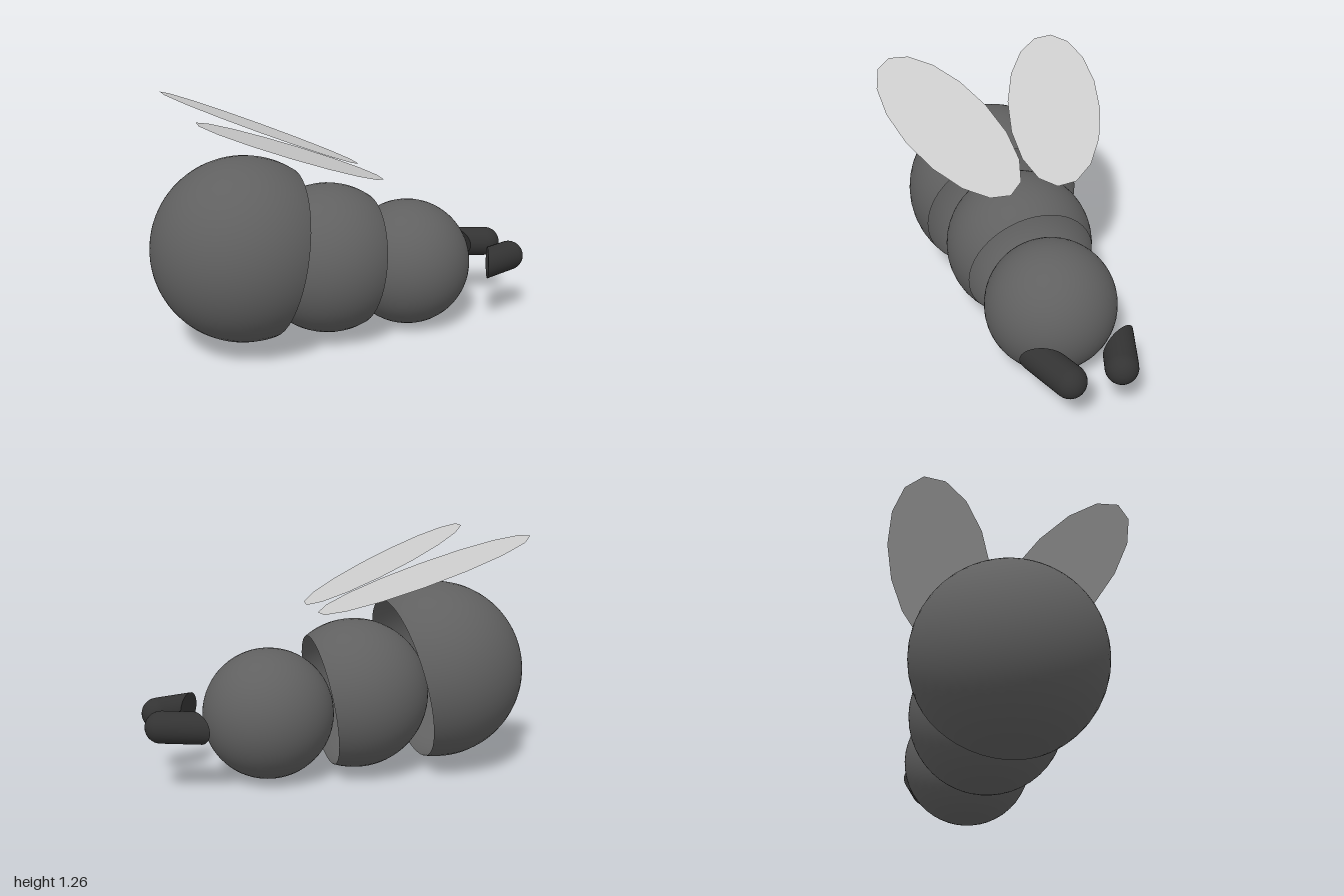
import * as THREE from 'three';

const rad = THREE.MathUtils.degToRad;

export function createModel() {
  const model = new THREE.Group();
  const shellGrey = new THREE.MeshStandardMaterial({ color: 0x606060, side: THREE.DoubleSide });
  const wingGrey = new THREE.MeshStandardMaterial({ color: 0xcccccc, side: THREE.DoubleSide });
  const jawGrey = new THREE.MeshStandardMaterial({ color: 0x333333, side: THREE.DoubleSide });

  const add = (name, geometry, material, x, y, z) => {
    const mesh = new THREE.Mesh(geometry, material);
    mesh.name = name;
    mesh.position.set(x, y, z);
    model.add(mesh);
    return mesh;
  };

  // Body segments: open shells whose mouths face +x and tip slightly down
  const segment = (name, r, x, y, tilt, mouth) => {
    const geometry = new THREE.SphereGeometry(r, 48, 32, 0, Math.PI * 2, rad(mouth), rad(180 - mouth));
    add(name, geometry, shellGrey, x, y, 0).rotation.z = -rad(90 + tilt);
  };
  segment('abdomen', 0.468, -0.532, 0.52, 13, 67);
  segment('thorax', 0.39, -0.09, 0.417, 9, 61.5);
  segment('head', 0.337, 0.365, 0.337, 0, 0);

  // Jaw profile: slanted base, straight side, round tip
  const r = 0.08;
  const profile = [[0, -0.175], [r, -0.175], [r, -0.175], [r, 0]].map(([x, y]) => new THREE.Vector2(x, y));
  for (let i = 1; i <= 8; i++) {
    const t = (i / 8) * Math.PI / 2;
    profile.push(new THREE.Vector2(i === 8 ? 0 : r * Math.cos(t), r * Math.sin(t)));
  }
  const jawGeometry = new THREE.LatheGeometry(profile, 32);
  const p = jawGeometry.attributes.position;
  for (let i = 0; i < p.count; i++) {
    if (p.getY(i) < -0.1) p.setY(i, p.getY(i) + 1.05 * p.getX(i));
  }

  for (const side of [1, -1]) {
    const label = side > 0 ? 'front' : 'back';

    // Wings: flat tilted ellipses spreading outward to the rear
    const wing = new THREE.CircleGeometry(1, 16);
    wing.scale(0.547, 0.249, 1);
    wing.rotateX(-Math.PI / 2);
    wing.rotateY(side * rad(18.4));
    wing.rotateZ(-rad(21.8));
    add(label + 'Wing', wing, wingGrey, -0.35, 1.063, side * 0.297);

    // Jaws: point forward and converge slightly
    const a = rad(20);
    const across = new THREE.Vector3(-Math.sin(a), 0, -side * Math.cos(a));
    const along = new THREE.Vector3(Math.cos(a), 0, -side * Math.sin(a));
    const up = new THREE.Vector3().crossVectors(across, along);
    add(label + 'Jaw', jawGeometry, jawGrey, 0.918, 0.34, side * 0.13)
      .quaternion.setFromRotationMatrix(new THREE.Matrix4().makeBasis(across, along, up));
  }
  return model;
}
